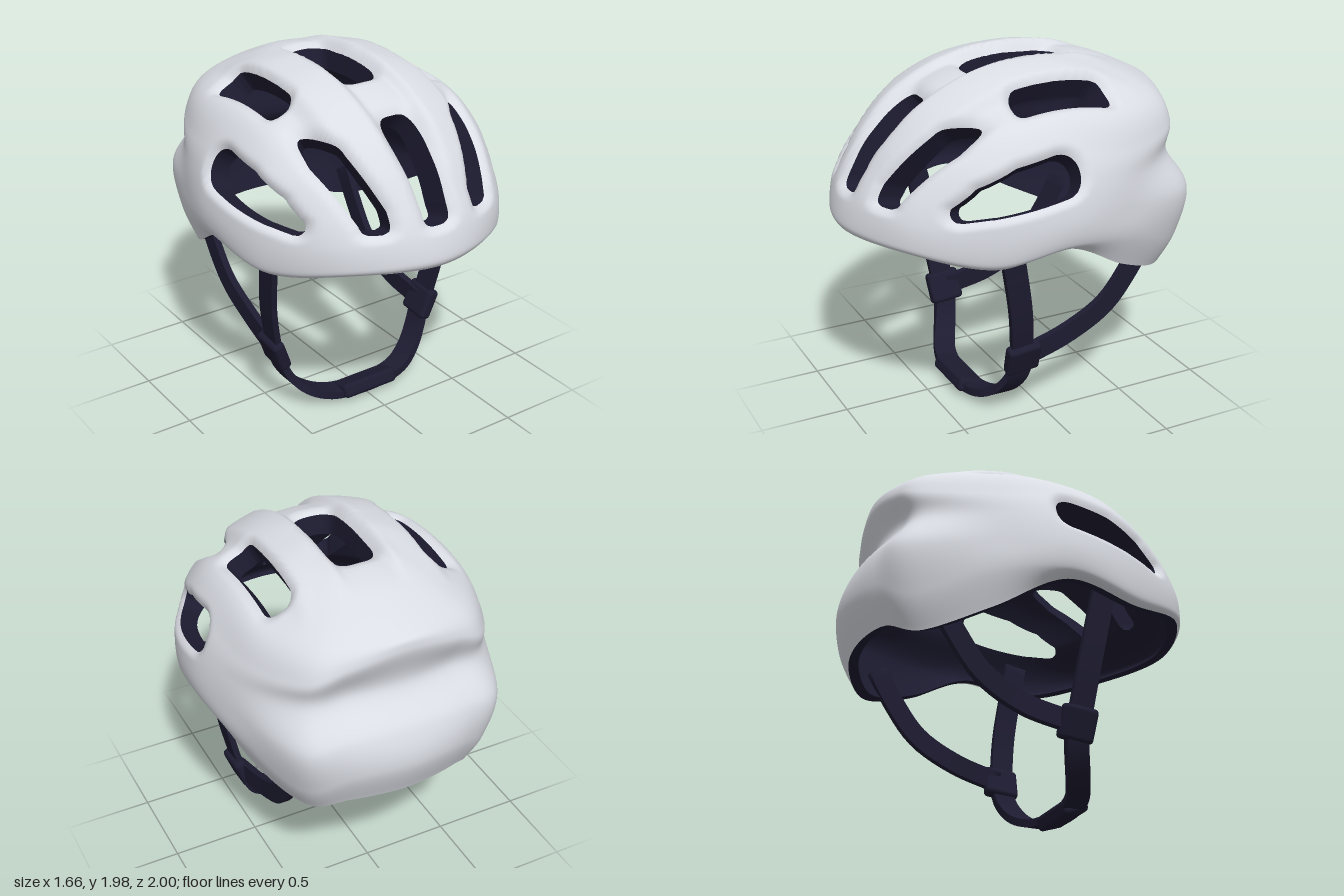
import * as THREE from 'three';
import { RoundedBoxGeometry } from 'three/addons/geometries/RoundedBoxGeometry.js';

const V = (x, y, z) => new THREE.Vector3(x, y, z);
const ss = (a, b, x) => THREE.MathUtils.smoothstep(x, a, b);

// Half-helmet profiles from front to back: azimuth, then [radius, height] from rim to crown
const PROFILES = [
  [0, [.98, 1.13], [1.0, 1.18], [.965, 1.32], [.895, 1.46], [.79, 1.62], [.615, 1.79], [.34, 1.925]],
  [30, [.94, 1.13], [.96, 1.17], [.95, 1.30], [.89, 1.45], [.78, 1.62], [.60, 1.79], [.34, 1.925]],
  [60, [.82, 1.045], [.86, 1.09], [.87, 1.24], [.845, 1.42], [.77, 1.60], [.62, 1.78], [.35, 1.925]],
  [90, [.75, 1.10], [.81, 1.14], [.83, 1.27], [.80, 1.45], [.73, 1.61], [.60, 1.785], [.38, 1.92]],
  [120, [.77, .90], [.84, 1.08], [.85, 1.25], [.83, 1.42], [.80, 1.56], [.69, 1.755], [.40, 1.93]],
  [145, [.87, .775], [.96, .95], [1.015, 1.22], [.90, 1.44], [.905, 1.59], [.79, 1.76], [.42, 1.935]],
  [160, [.92, .85], [1.0, 1.06], [.985, 1.27], [.84, 1.47], [.89, 1.67], [.78, 1.80], [.41, 1.955]],
  [180, [.92, .86], [1.0, 1.08], [.96, 1.28], [.82, 1.48], [.87, 1.72], [.79, 1.81], [.40, 1.965]],
];
const CROWN = V(0, 1.99, 0);
const LEVELS = 7, HALF = PROFILES.length - 1, STATIONS = HALF * 2;

// Control point of a station (around the head, mirrored) at a level
function control(k, level) {
  k = (k + STATIONS) % STATIONS;
  // Past the crown, carry on down the far side
  if (level > LEVELS) {
    const p = control(k, 2 * LEVELS - level);
    return V(-p.x, p.y, -p.z);
  }
  if (level === LEVELS) return CROWN;
  const p = PROFILES[k <= HALF ? k : STATIONS - k];
  const a = THREE.MathUtils.degToRad(k <= HALF ? p[0] : -p[0]);
  const [r, y] = p[1 + Math.max(level, 0)];
  return V(Math.sin(a) * r, y, Math.cos(a) * r);
}

function spline(get, s) {
  const i = Math.floor(s), t = s - i, t2 = t * t, t3 = t2 * t;
  return V(0, 0, 0)
    .addScaledVector(get(i - 1), (-t + 2 * t2 - t3) / 2)
    .addScaledVector(get(i), (2 - 5 * t2 + 3 * t3) / 2)
    .addScaledVector(get(i + 1), (t + 4 * t2 - 3 * t3) / 2)
    .addScaledVector(get(i + 2), (t3 - t2) / 2);
}

// Smooth dome with a sunken middle channel and stepped side ribs
function shellPoint(u, v) {
  const p = spline(k => spline(l => control(k, l), v), u);
  const x = Math.abs(p.x), mask = ss(-.6, -.3, p.z) * ss(1.5, 1.8, p.y);
  p.y += mask * (.018 - .045 * (1 - ss(.11, .18, x)) - .045 * ss(.38, .45, x) * (1 - .6 * ss(.45, .65, x)));
  return p;
}

// Vents: thick paths of [a, b, radius] in one projection, limited to one region; pow squares the ends
const front = p => p.z > .2, top = p => p.y > 1.5, side = p => Math.abs(p.x) > .35;
const VENTS = [
  { at: p => [Math.abs(p.x), p.y], on: front, pow: 3.5, path: [[0, 1.425, .085], [0, 1.71, .108]] },
  { at: p => [Math.abs(p.x), p.y], on: front, pow: 3.5, path: [[.345, 1.42, .077], [.445, 1.67, .083]] },
  { at: p => [Math.abs(p.x), p.z], on: top, pow: 3, path: [[0, -.22, .125], [0, .13, .125]] },
  { at: p => [Math.abs(p.x), p.z], on: top, pow: 3, path: [[.475, -.315, .077], [.475, .12, .077]] },
  { at: p => [p.z, p.y], on: side, pow: 2.2,
    path: [[.59, 1.36, .045], [.45, 1.42, .085], [.25, 1.48, .112], [.05, 1.515, .112]] },
];

// Distance to the nearest vent edge, negative inside a vent
function ventDistance(p) {
  let best = 1;
  for (const { at, on, pow, path } of VENTS) {
    if (!on(p)) continue;
    const [a, b] = at(p);
    for (let i = 0; i + 1 < path.length; i++) {
      const [a0, b0, r0] = path[i], [a1, b1, r1] = path[i + 1];
      const da = a1 - a0, db = b1 - b0;
      const t = THREE.MathUtils.clamp(((a - a0) * da + (b - b0) * db) / (da * da + db * db), 0, 1);
      const d = (Math.abs(a - a0 - t * da) ** pow + Math.abs(b - b0 - t * db) ** pow) ** (1 / pow);
      best = Math.min(best, d - r0 - t * (r1 - r0));
    }
  }
  return best;
}

function meshFrom(points, index, material, name) {
  const g = new THREE.BufferGeometry().setFromPoints(points);
  g.setIndex(index);
  g.computeVertexNormals();
  const m = new THREE.Mesh(g, material);
  m.name = name;
  return m;
}

function buildShell(white, dark) {
  const N = 196, M = 98, pts = [], dist = [], cuts = new Map(), faces = [], edges = [];
  for (let j = 0; j <= M; j++) for (let i = 0; i < N; i++) {
    const p = shellPoint(i * STATIONS / N, j * LEVELS / M);
    pts.push(p);
    dist.push(ventDistance(p));
  }
  const cut = (a, b) => {
    const key = Math.min(a, b) + '_' + Math.max(a, b);
    if (!cuts.has(key)) {
      cuts.set(key, pts.length);
      pts.push(pts[a].clone().lerp(pts[b], dist[a] / (dist[a] - dist[b])));
      dist.push(0);
    }
    return cuts.get(key);
  };
  // Keep the part of each triangle outside the vents and remember the cut edges
  const clip = tri => {
    const poly = [];
    let from, to;
    tri.forEach((a, n) => {
      const b = tri[(n + 1) % 3], inA = dist[a] >= 0, inB = dist[b] >= 0;
      if (inA) poly.push(a);
      if (inA !== inB) {
        const c = cut(a, b);
        poly.push(c);
        if (inA) from = c; else to = c;
      }
    });
    for (let n = 1; n + 1 < poly.length; n++) faces.push([poly[0], poly[n], poly[n + 1]]);
    if (from !== undefined) edges.push([from, to]);
  };
  for (let j = 0; j < M; j++) for (let i = 0; i < N; i++) {
    const a = j * N + i, b = j * N + (i + 1) % N;
    clip([a, b, b + N]);
    if (j < M - 1) clip([a, b + N, a + N]);
    if (j === 0) edges.push([a, b]);
  }
  // Vent lips roll inwards; the lining is the same skin moved inwards, thin at the rim, thick above and in front
  const centre = V(0, 1.1, 0);
  const toward = (p, k) => p.clone().sub(centre).multiplyScalar(k).add(centre);
  const outer = pts.map((p, i) => toward(p, 1 - .035 * Math.max(0, 1 - Math.max(dist[i], 0) / .045) ** 2));
  const inner = pts.map(p => toward(p, .94 - ss(1.12, 1.42, p.y) * (.1 + .045 * ss(.4, .8, p.z))));
  const n = pts.length, walls = [];
  for (const [a, b] of edges) walls.push(b, a, a + n, b, a + n, b + n);
  return [
    meshFrom(outer, faces.flat(), white, 'outerShell'),
    meshFrom(inner, faces.flatMap(([a, b, c]) => [a, c, b]), dark, 'innerLining'),
    meshFrom([...outer, ...inner], walls, dark, 'ventWallsAndRim'),
  ];
}

// Flat strap swept along a curve; a chin strap keeps its width along z
function strap(points, width, thick, material, name, chin = false) {
  const curve = new THREE.CatmullRomCurve3(points.map(p => V(...p)));
  const steps = chin ? 48 : 20, pos = [], index = [];
  for (let i = 0; i <= steps; i++) {
    const c = curve.getPointAt(i / steps), t = curve.getTangentAt(i / steps);
    const w = chin ? V(0, 0, 1).addScaledVector(t, -t.z) : V(1, 0, 0).cross(t);
    w.normalize();
    const n = t.clone().cross(w);
    const corner = (a, b) => c.clone().addScaledVector(w, a * width / 2).addScaledVector(n, b * thick / 2);
    const q = [corner(-1, -1), corner(1, -1), corner(1, 1), corner(-1, 1)];
    // Each side has its own corners so the edges stay sharp
    for (let s = 0; s < 4; s++) pos.push(q[s], q[(s + 1) % 4]);
    if (i < steps) for (let s = 0; s < 4; s++) {
      const a = i * 8 + s * 2;
      index.push(a, a + 1, a + 9, a, a + 9, a + 8);
    }
  }
  const e = steps * 8;
  index.push(0, 4, 2, 0, 6, 4, e, e + 2, e + 4, e, e + 4, e + 6);
  return meshFrom(pos, index, material, name);
}

function roundedBox(size, at, rot, material, name) {
  const m = new THREE.Mesh(new RoundedBoxGeometry(...size, 3, .025), material);
  m.position.set(...at);
  m.rotation.set(...rot);
  m.name = name;
  return m;
}

export function createModel() {
  const white = new THREE.MeshStandardMaterial({ color: 0xdadde4 });
  white.name = 'shellWhite';
  const dark = new THREE.MeshStandardMaterial({ color: 0x1d1b30 });
  dark.name = 'strapNavy';
  const model = new THREE.Group();
  model.name = 'helmet';
  model.add(...buildShell(white, dark));

  // Side straps and buckles
  for (const s of [1, -1]) {
    const name = s > 0 ? 'left' : 'right';
    model.add(
      strap([[s * .62, 1.2, .29], [s * .605, 1.0, .25], [s * .58, .7, .195], [s * .525, .4, .155]],
        .13, .035, dark, name + 'FrontStrap'),
      strap([[s * .505, .97, -.64], [s * .505, .78, -.53], [s * .5, .59, -.38], [s * .495, .46, -.15], [s * .515, .39, .13]],
        .115, .04, dark, name + 'RearStrap'),
      roundedBox([.075, .19, .2], [s * .52, .385, .15], [.08, 0, -s * .35], dark, name + 'Buckle'),
    );
  }
  // Chin strap and its pad
  const half = [[.515, .38, .15], [.475, .25, .165], [.39, .14, .21], [.25, .075, .27]];
  const mirrored = half.map(([x, y, z]) => [-x, y, z]).reverse();
  model.add(strap([...half, [0, .06, .3], ...mirrored], .125, .045, dark, 'chinStrap', true));
  model.add(roundedBox([.36, .085, .155], [0, .066, .3], [-.32, 0, 0], dark, 'chinPad'));
  return model;
}
